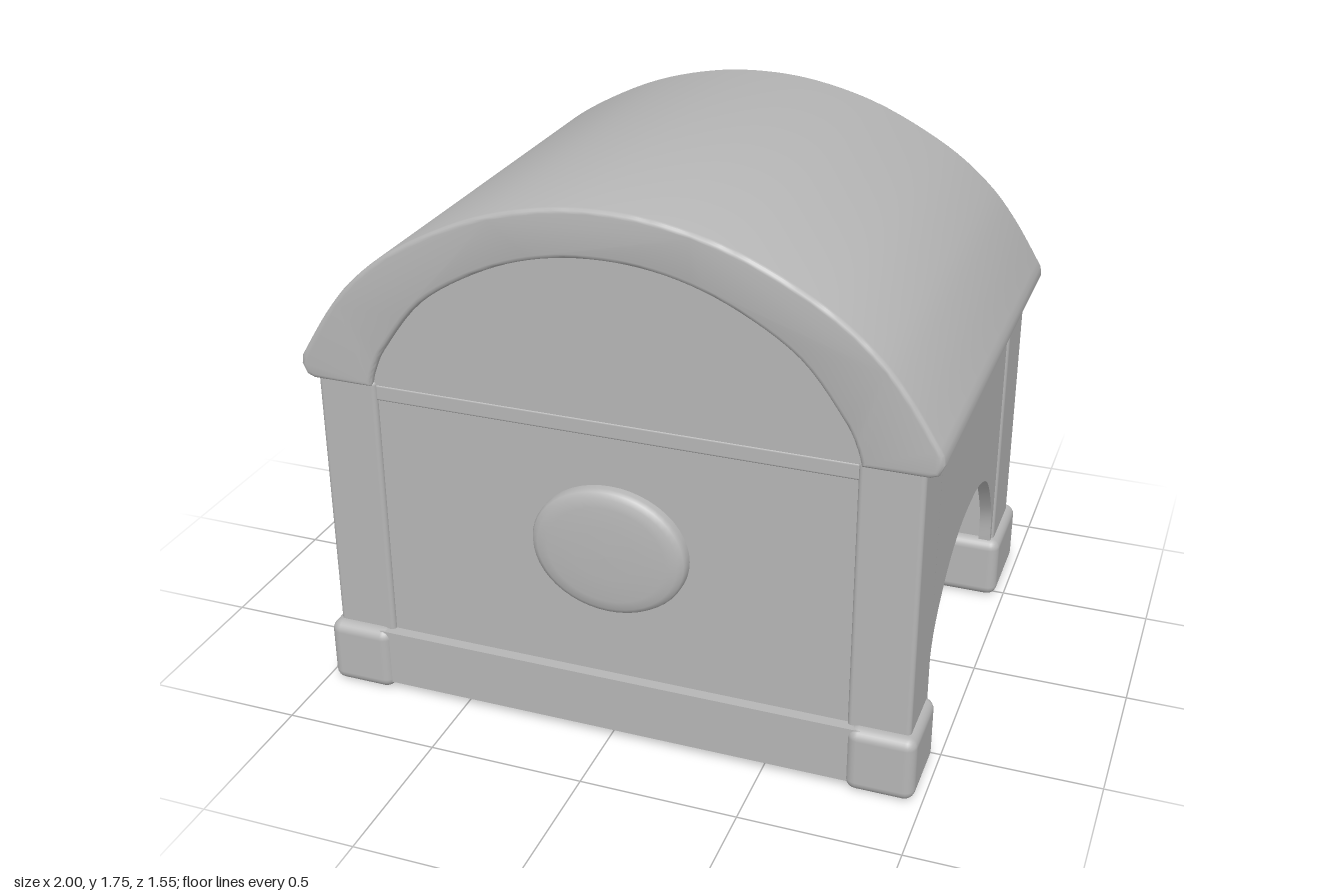
import * as THREE from 'three';
import { toCreasedNormals } from 'three/addons/utils/BufferGeometryUtils.js';
import { RoundedBoxGeometry } from 'three/addons/geometries/RoundedBoxGeometry.js';

const grey = new THREE.MeshStandardMaterial({ color: 0xb6b6b6 });
grey.name = 'plain grey';

const vectors = (pts) => pts.map(([x, y]) => new THREE.Vector2(x, y));

// Half an arch from the right springing to the crown, mirrored and smoothed
function archCurve(half, steps) {
  const mirrored = half.slice(0, -1).reverse().map(([x, y]) => [-x, y]);
  return new THREE.SplineCurve(vectors([...half, ...mirrored])).getPoints(steps);
}

function extrude(points, depth, bevel = 0) {
  const geometry = new THREE.ExtrudeGeometry(new THREE.Shape(points), {
    depth: depth - 2 * bevel, bevelEnabled: bevel > 0, bevelSize: bevel,
    bevelThickness: bevel, bevelOffset: -bevel, bevelSegments: 3,
  });
  geometry.translate(0, 0, bevel);
  return toCreasedNormals(geometry, 0.6);
}

export function createModel() {
  const model = new THREE.Group();
  model.name = 'archedShelter';

  const add = (name, geometry, x = 0, y = 0, z = 0) => {
    const mesh = new THREE.Mesh(geometry, grey);
    mesh.name = name;
    mesh.position.set(x, y, z);
    model.add(mesh);
    return mesh;
  };
  const box = (name, [x0, x1], [y0, y1], [z0, z1], r = 0) => {
    const size = [x1 - x0, y1 - y0, z1 - z0];
    const geometry = r ? new RoundedBoxGeometry(...size, 3, r) : new THREE.BoxGeometry(...size);
    return add(name, geometry, (x0 + x1) / 2, (y0 + y1) / 2, (z0 + z1) / 2);
  };

  // Barrel roof: a thick arched band running front to back
  const outer = archCurve([[0.995, 1.16], [0.9, 1.31], [0.8, 1.43], [0.65, 1.548],
    [0.42, 1.665], [0.2, 1.727], [0, 1.745]], 64);
  const inner = archCurve([[0.765, 1.085], [0.75, 1.14], [0.71, 1.22], [0.58, 1.385],
    [0.39, 1.505], [0.2, 1.573], [0, 1.595]], 64);
  const lipLeft = vectors([[-1, 1.13], [-0.985, 1.095], [-0.96, 1.085]]);
  const lipRight = vectors([[0.96, 1.085], [0.985, 1.095], [1, 1.13]]);
  add('roof', extrude([...outer, ...lipLeft, ...inner.slice().reverse(), ...lipRight], 1.5, 0.015), 0, 0, -0.755);

  // Filled half-round gables inside the roof rims
  add('frontGable', extrude(inner, 0.02), 0, 0, 0.705);
  add('backGable', extrude(inner, 0.02), 0, 0, -0.735);

  // Corner posts and their chunky feet
  for (const side of [-1, 1]) {
    const span = (a, b) => (side > 0 ? [a, b] : [-b, -a]);
    box('frontPost', span(0.755, 0.95), [0.15, 1.1], [0.505, 0.735], 0.015);
    box('backPost', span(0.755, 0.95), [0.15, 1.1], [-0.735, -0.49], 0.015);
    box('frontFoot', span(0.76, 0.975), [0, 0.22], [0.505, 0.772], 0.035);
    box('backFoot', span(0.76, 0.975), [0, 0.22], [-0.775, -0.455], 0.035);
  }

  // Side walls with an arched opening; shape axes are z and y
  const opening = new THREE.SplineCurve(vectors([[-0.47, 0.22], [-0.45, 0.35], [-0.33, 0.52],
    [-0.17, 0.595], [0, 0.608], [0.15, 0.59], [0.3, 0.53], [0.45, 0.4], [0.5, 0.22]])).getPoints(40);
  const wall = extrude([...vectors([[0.54, 0.2], [0.54, 1.1], [-0.52, 1.1], [-0.52, 0.2]]), ...opening], 0.04);
  wall.rotateY(-Math.PI / 2);
  add('leftWall', wall, 0.942);
  add('rightWall', wall, -0.902);

  // Base rails; the front one is hollow on its inner side
  box('backRail', [-0.8, 0.8], [0.02, 0.205], [-0.76, -0.55], 0.02);
  const frontRail = box('frontRail', [-0.8, 0.8], [0.025, 0.215], [0.55, 0.757]);
  const railIndex = Array.from(frontRail.geometry.index.array);
  frontRail.geometry.clearGroups();
  frontRail.geometry.setIndex(railIndex.slice(0, 30));

  // Front panel with a slim top moulding and an oval boss
  box('frontPanel', [-0.77, 0.77], [0.19, 1.1], [0.7, 0.72]);
  box('frontMoulding', [-0.76, 0.76], [1.035, 1.088], [0.71, 0.727], 0.007);
  const bossProfile = vectors([[0.25, 0], [0.25, 0.028], [0.243, 0.042], [0.225, 0.052],
    [0.19, 0.058], [0.1, 0.062], [0, 0.063]]);
  const boss = new THREE.LatheGeometry(bossProfile, 48);
  boss.rotateX(Math.PI / 2);
  boss.scale(1, 0.84, 1);
  add('ovalBoss', boss, 0.003, 0.665, 0.712);

  // Back panel, broken away below the top strip
  const broken = vectors([[-0.77, 1.1], [-0.77, 0.37], [-0.4, 0.41], [-0.05, 0.45], [-0.04, 0.51],
    [-0.15, 0.54], [-0.05, 0.57], [-0.22, 0.6], [-0.12, 0.63], [-0.32, 0.66], [-0.22, 0.7],
    [-0.33, 0.77], [0, 0.775], [0.25, 0.8], [0.69, 0.81], [0.7, 0.68], [0.68, 0.56],
    [0.72, 0.45], [0.71, 0.35], [0.77, 0.33], [0.77, 1.1]]);
  add('brokenBackPanel', extrude(broken, 0.02), 0, 0, -0.725);

  return model;
}
